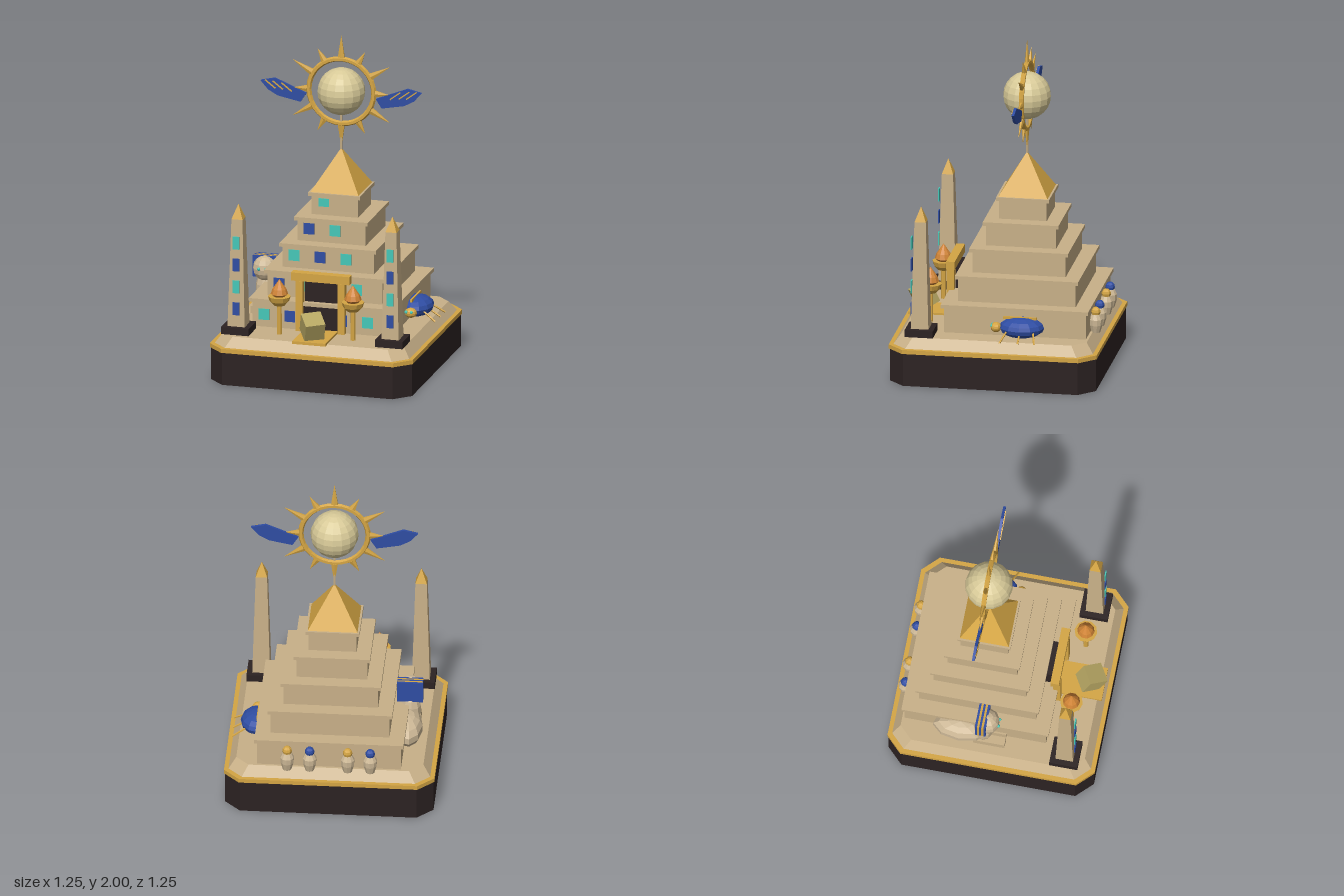
import * as THREE from 'three';

const mat = (name, color) => new THREE.MeshStandardMaterial({ name, color, flatShading: true });

export function createModel() {
  const root = new THREE.Group();
  root.name = 'sunTemple';
  const dark = mat('basalt', 0x2c2222), sand = mat('sandstone', 0xc8b088), gold = mat('gold', 0xd4a544);
  const blue = mat('lapis', 0x2f4da3), teal = mat('turquoise', 0x45c8b8), pale = mat('paleSun', 0xd8ca98);
  const flame = mat('flame', 0xd08436), brass = mat('brass', 0xb5a562), cream = mat('limestone', 0xcdb896);

  const add = (name, geo, m, x = 0, y = 0, z = 0, parent = root) => {
    const mesh = new THREE.Mesh(geo, m);
    mesh.name = name;
    mesh.position.set(x, y, z);
    parent.add(mesh);
    return mesh;
  };
  // box given by its limits on each axis
  const box = (name, m, x0, x1, y0, y1, z0, z1, parent = root) =>
    add(name, new THREE.BoxGeometry(x1 - x0, y1 - y0, z1 - z0), m, (x0 + x1) / 2, (y0 + y1) / 2, (z0 + z1) / 2, parent);
  // square frustum given by half widths, standing on y0
  const square = (name, m, bottom, top, y0, y1, x, z, parent = root) => {
    const geo = new THREE.CylinderGeometry(top * Math.SQRT2, bottom * Math.SQRT2, y1 - y0, 4);
    return add(name, geo.rotateY(Math.PI / 4), m, x, (y0 + y1) / 2, z, parent);
  };
  const ball = (name, m, x, y, z, rx, ry, rz, parent = root, w = 10, h = 8) =>
    add(name, new THREE.SphereGeometry(1, w, h).scale(rx, ry, rz), m, x, y, z, parent);
  const group = (name, x = 0, y = 0, z = 0) => {
    const g = new THREE.Group();
    g.name = name;
    g.position.set(x, y, z);
    root.add(g);
    return g;
  };
  // square slab with cut corners, narrowing towards the top
  const slab = (name, m, half, cut, y0, y1, taper = 1) => {
    const c = half - cut, h = half;
    const pts = [[h, c], [c, h], [-c, h], [-h, c], [-h, -c], [-c, -h], [c, -h], [h, -c]];
    const shape = new THREE.Shape(pts.map(p => new THREE.Vector2(...p)));
    const geo = new THREE.ExtrudeGeometry(shape, { depth: y1 - y0, bevelEnabled: false }).rotateX(-Math.PI / 2);
    const p = geo.attributes.position;
    for (let i = 0; i < p.count; i++)
      if (p.getY(i) > (y1 - y0) / 2) p.setXYZ(i, p.getX(i) * taper, p.getY(i), p.getZ(i) * taper);
    geo.computeVertexNormals();
    return add(name, geo, m, 0, y0, 0);
  };

  // Plinth
  slab('plinth', dark, 0.62, 0.095, 0, 0.2);
  slab('plinthTrim', gold, 0.626, 0.095, 0.2, 0.225);
  slab('terrace', sand, 0.6, 0.085, 0.225, 0.285, 0.928);

  // Stepped pyramid with inlaid tiles on the front
  const cz = -0.115;
  const levels = [0.285, 0.46, 0.62, 0.77, 0.918, 1.055];
  const halves = [0.444, 0.371, 0.298, 0.228, 0.16];
  halves.forEach((h, i) => {
    const y0 = levels[i], y1 = levels[i + 1], b = h - 0.017;
    box('tier', sand, -b, b, y0, y1 - 0.022, cz - b, cz + b);
    box('tierLedge', sand, -h, h, y1 - 0.022, y1, cz - h, cz + h);
    for (let k = 0; k < 5 - i; k++) {
      const x = -0.355 + i * 0.072 + k * 0.16, y = y0 + 0.077;
      const t = i === 4 ? 0.025 : 0.034;
      box('inlaidTile', (i + k) % 2 ? blue : teal, x - 0.033, x + 0.033, y - t, y + t, cz + b - 0.002, cz + b + 0.004);
    }
  });
  square('goldenCap', gold, 0.148, 0, 1.055, 1.3, 0, cz);

  // Doorway and ramp
  box('doorUpper', dark, -0.107, 0.107, 0.46, 0.585, 0.245, 0.296);
  box('doorLower', dark, -0.107, 0.107, 0.285, 0.438, 0.29, 0.321);
  for (const s of [-1, 1]) add('doorPost', new THREE.BoxGeometry(0.042, 0.31, 0.045), gold, s * 0.129, 0.44, 0.322);
  box('lintel', gold, -0.18, 0.18, 0.595, 0.645, 0.29, 0.342);
  box('ramp', gold, -0.103, 0.103, 0.28, 0.297, 0.32, 0.585);
  add('tiltedBlock', new THREE.BoxGeometry(0.12, 0.12, 0.12), brass, 0, 0.372, 0.505).rotation.set(0.5, 0.5, -0.2);

  // Sun disc with ring, rays and wings
  const sun = group('sunDisc', 0, 1.65, cz);
  ball('sun', pale, 0, 0, 0, 0.143, 0.143, 0.143, sun, 16, 12);
  add('sunRing', new THREE.TorusGeometry(0.2, 0.016, 6, 32), gold, 0, 0, 0, sun);
  add('sunRod', new THREE.CylinderGeometry(0.007, 0.007, 0.24, 6), sand, 0, -0.25, 0, sun);
  for (let i = 0; i < 12; i++) {
    const len = i % 2 ? 0.085 : 0.14, r = 0.21 + len / 2, a = i * Math.PI / 6;
    const ray = add('sunRay', new THREE.ConeGeometry(0.023, len, 6).scale(1, 1, 0.6), gold, -Math.sin(a) * r, Math.cos(a) * r, 0, sun);
    ray.rotation.z = a;
  }
  for (const s of [-1, 1]) {
    const outline = [[0.215, -0.03], [0.25, -0.085], [0.39, -0.058], [0.45, -0.025], [0.497, 0.028], [0.41, 0.048]];
    const shape = new THREE.Shape(outline.map(([x, y]) => new THREE.Vector2(s * x, y)));
    add('wing', new THREE.ExtrudeGeometry(shape, { depth: 0.016, bevelEnabled: false }), blue, 0, 0, -0.008, sun);
    for (const [x, y] of [[0.335, 0], [0.39, 0.008], [0.435, 0.01]]) {
      const stripe = add('wingStripe', new THREE.BoxGeometry(0.08, 0.007, 0.008), gold, s * x, y, 0.01, sun);
      stripe.rotation.z = s * 0.65;
    }
  }

  // Obelisks and torches, mirrored
  for (const s of [-1, 1]) {
    const ob = group('obelisk', s * 0.475, 0, 0.441);
    box('obeliskBase', dark, -0.085, 0.085, 0.285, 0.328, -0.085, 0.085, ob);
    square('obeliskShaft', sand, 0.053, 0.034, 0.328, 0.987, 0, 0, ob);
    square('obeliskTip', gold, 0.034, 0, 0.987, 1.077, 0, 0, ob);
    for (let k = 0; k < 4; k++) {
      const y = 0.44 + k * 0.136;
      box('obeliskTile', k % 2 ? teal : blue, -0.02, 0.02, y - 0.039, y + 0.039, 0.053, 0.06, ob);
    }
    const torch = group('torch', s * 0.227, 0, 0.427);
    add('torchPole', new THREE.CylinderGeometry(0.014, 0.016, 0.2, 8), gold, 0, 0.385, 0, torch);
    const bowl = [[0, 0.455], [0.035, 0.465], [0.058, 0.49], [0.068, 0.52], [0, 0.52]].map(p => new THREE.Vector2(...p));
    add('torchBowl', new THREE.LatheGeometry(bowl, 10), gold, 0, 0, 0, torch);
    const fire = [[0.03, 0.515], [0.052, 0.535], [0.042, 0.565], [0, 0.625]].map(p => new THREE.Vector2(...p));
    add('torchFlame', new THREE.LatheGeometry(fire, 10), flame, 0, 0, 0, torch);
  }

  // Scarab by the side wall
  const scarab = group('scarab', 0.447, 0.348, -0.16);
  ball('scarabShell', blue, 0, 0, 0, 0.108, 0.062, 0.135, scarab, 12, 8);
  ball('scarabHead', gold, 0.012, -0.003, 0.152, 0.038, 0.03, 0.032, scarab);
  box('shellSeam', gold, -0.004, 0.008, 0.048, 0.064, -0.09, 0.11, scarab);
  for (const s of [-1, 1]) ball('scarabEye', teal, 0.006 + s * 0.016, 0.006, 0.176, 0.01, 0.01, 0.01, scarab, 8, 6);
  for (const [z, skew] of [[0.08, 0.03], [0, 0], [-0.08, -0.02]]) {
    const path = new THREE.LineCurve3(new THREE.Vector3(0.07, -0.01, z), new THREE.Vector3(0.152, -0.06, z + skew));
    add('scarabLeg', new THREE.TubeGeometry(path, 1, 0.006, 5), gold, 0, 0, 0, scarab);
  }

  // Sphinx by the opposite wall
  const sphinx = group('sphinx', -0.447, 0, 0);
  ball('sphinxBody', cream, 0, 0.365, -0.2, 0.086, 0.085, 0.17, sphinx, 9, 7);
  ball('sphinxChest', cream, 0, 0.41, -0.06, 0.065, 0.11, 0.06, sphinx, 9, 7);
  ball('sphinxHead', cream, 0, 0.54, -0.03, 0.074, 0.075, 0.066, sphinx);
  for (const s of [-1, 1]) {
    ball('sphinxEye', teal, s * 0.021, 0.548, 0.032, 0.01, 0.01, 0.01, sphinx, 8, 6);
    add('sphinxPaw', new THREE.BoxGeometry(0.048, 0.045, 0.19), sand, s * 0.034, 0.307, -0.02, sphinx);
  }
  for (let k = 0; k < 5; k++) {
    const z = -0.1 + k * 0.013;
    box('headdressBand', k % 2 ? gold : blue, -0.077, 0.077, 0.48, 0.612, z, z + 0.013, sphinx);
  }

  // Lidded jars along the back
  const jarProfile = [[0, 0.278], [0.026, 0.278], [0.04, 0.325], [0.042, 0.36], [0.027, 0.39], [0, 0.39]].map(p => new THREE.Vector2(...p));
  [-0.247, -0.113, 0.113, 0.247].forEach((x, i) => {
    const jar = group('jar', x, 0, -0.572);
    add('jarBody', new THREE.LatheGeometry(jarProfile, 10), cream, 0, 0, 0, jar);
    ball('jarLid', i % 2 ? gold : blue, 0, 0.405, 0, 0.029, 0.03, 0.029, jar, 8, 6);
  });

  return root;
}
